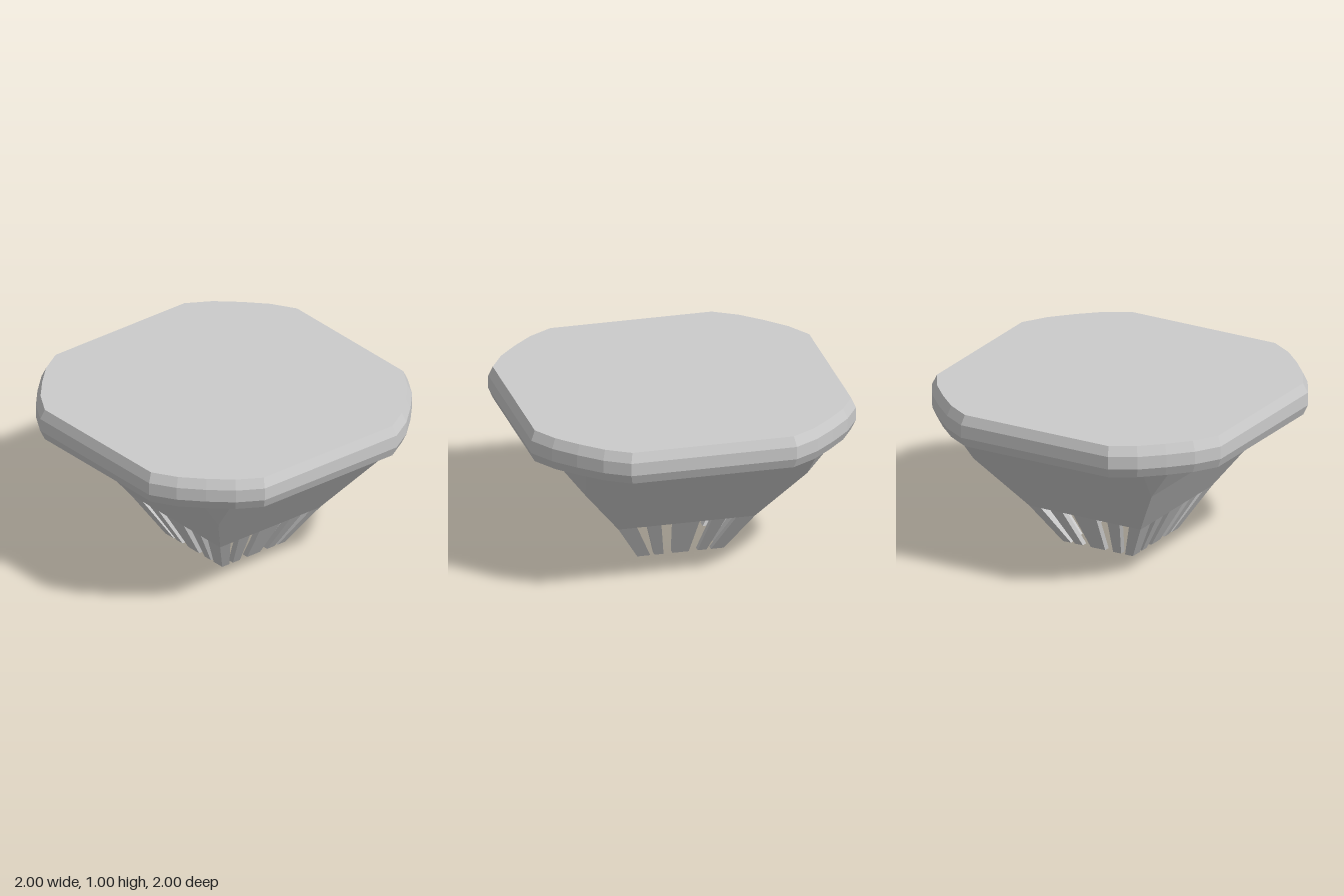
import * as THREE from 'three';

const material = new THREE.MeshStandardMaterial({ color: 0xcccccc, flatShading: true });

// Closed solid lofted through convex rings of [x, z] points at rising heights
function loft(name, sections) {
  const ring0 = sections[0].ring;
  const n = ring0.length;
  let area = 0;
  ring0.forEach(([x, z], i) => {
    const [x2, z2] = ring0[(i + 1) % n];
    area += x * -z2 + x2 * z;
  });
  const rings = sections.map(({ y, ring }) => {
    const pts = ring.map(([x, z]) => [x, y, z]);
    return area < 0 ? pts.reverse() : pts;
  });
  const v = [];
  const tri = (a, b, c) => v.push(...a, ...b, ...c);
  for (let k = 0; k + 1 < rings.length; k++) {
    const lo = rings[k], hi = rings[k + 1];
    for (let i = 0; i < n; i++) {
      const j = (i + 1) % n;
      tri(lo[i], lo[j], hi[j]);
      tri(lo[i], hi[j], hi[i]);
    }
  }
  const bottom = rings[0], top = rings[rings.length - 1];
  for (let i = 1; i + 1 < n; i++) {
    tri(bottom[0], bottom[i + 1], bottom[i]);
    tri(top[0], top[i], top[i + 1]);
  }
  const geometry = new THREE.BufferGeometry();
  geometry.setAttribute('position', new THREE.Float32BufferAttribute(v, 3));
  geometry.computeVertexNormals();
  const mesh = new THREE.Mesh(geometry, material);
  mesh.name = name;
  return mesh;
}

// Repeat one corner's points, rotated by quarter turns
function fourCorners(points) {
  const ring = [];
  for (let q = 0; q < 4; q++) {
    for (const [x, z] of points) {
      ring.push([[x, z], [z, -x], [-x, -z], [-z, x]][q]);
    }
  }
  return ring;
}

const Z0 = 0.01; // slight forward offset of the funnel

// Rectangle with chamfered corners
function chamferedRect(hx, hz, c) {
  return [
    [hx - c, hz], [hx, hz - c], [hx, c - hz], [hx - c, -hz],
    [c - hx, -hz], [-hx, c - hz], [-hx, hz - c], [c - hx, hz],
  ].map(([x, z]) => [x, z + Z0]);
}

export function createModel() {
  const model = new THREE.Group();
  model.name = 'funnelWithLid';

  // Lid: rounded square slab with bevelled rims
  const corner = [[0.51, 1], [0.66, 0.91], [0.79, 0.79], [0.91, 0.66], [1, 0.51]];
  const lidRing = (s) => fourCorners(corner.map(([x, z]) => [x * s, z * s]));
  model.add(loft('lid', [
    { y: 0.8, ring: lidRing(0.975) },
    { y: 0.86, ring: lidRing(1) },
    { y: 0.94, ring: lidRing(1) },
    { y: 1, ring: lidRing(0.975) },
  ]));

  // Funnel body: tapered block, corners cut away just under the lid
  model.add(loft('funnelBody', [
    { y: 0.25, ring: chamferedRect(0.385, 0.42, 0.0005) },
    { y: 0.595, ring: chamferedRect(0.617, 0.683, 0.0005) },
    { y: 0.81, ring: chamferedRect(0.775, 0.847, 0.125) },
  ]));

  // Slotted skirt: tapered prongs hanging from the body around an open hollow
  const skirt = new THREE.Group();
  skirt.name = 'slottedSkirt';
  const thickness = 0.04;
  const levels = [
    { y: 0, hx: 0.242, hz: 0.267, cuts: [0.05, 0.105, 0.16, 0.187] },
    { y: 0.25, hx: 0.385, hz: 0.42, cuts: [0.08, 0.155, 0.24, 0.305] },
  ];
  // Footprint of a prong on one side of the skirt, running from u0 to u1
  const footprint = (level, side, span) => {
    const alongX = side < 2;
    const sign = side % 2 ? -1 : 1;
    const extent = alongX ? level.hx : level.hz;
    const out = alongX ? level.hz : level.hx;
    const [u0, u1] = span(level.cuts, extent);
    const limit = extent - thickness;
    const inner = (u) => THREE.MathUtils.clamp(u, -limit, limit);
    const pts = [[u0, out], [u1, out], [inner(u1), out - thickness], [inner(u0), out - thickness]];
    return pts.map(([u, d]) => (alongX ? [u, d * sign + Z0] : [d * sign, u + Z0]));
  };
  for (let side = 0; side < 4; side++) {
    const addProng = (name, span) => skirt.add(loft(name,
      levels.map((level) => ({ y: level.y, ring: footprint(level, side, span) }))));
    addProng('centreProng', (c) => [-c[0], c[0]]);
    for (const m of [-1, 1]) {
      addProng('middleProng', (c) => [m * c[1], m * c[2]]);
      addProng('cornerProng', (c, extent) => [m * c[3], m * extent]);
    }
  }
  model.add(skirt);

  return model;
}
